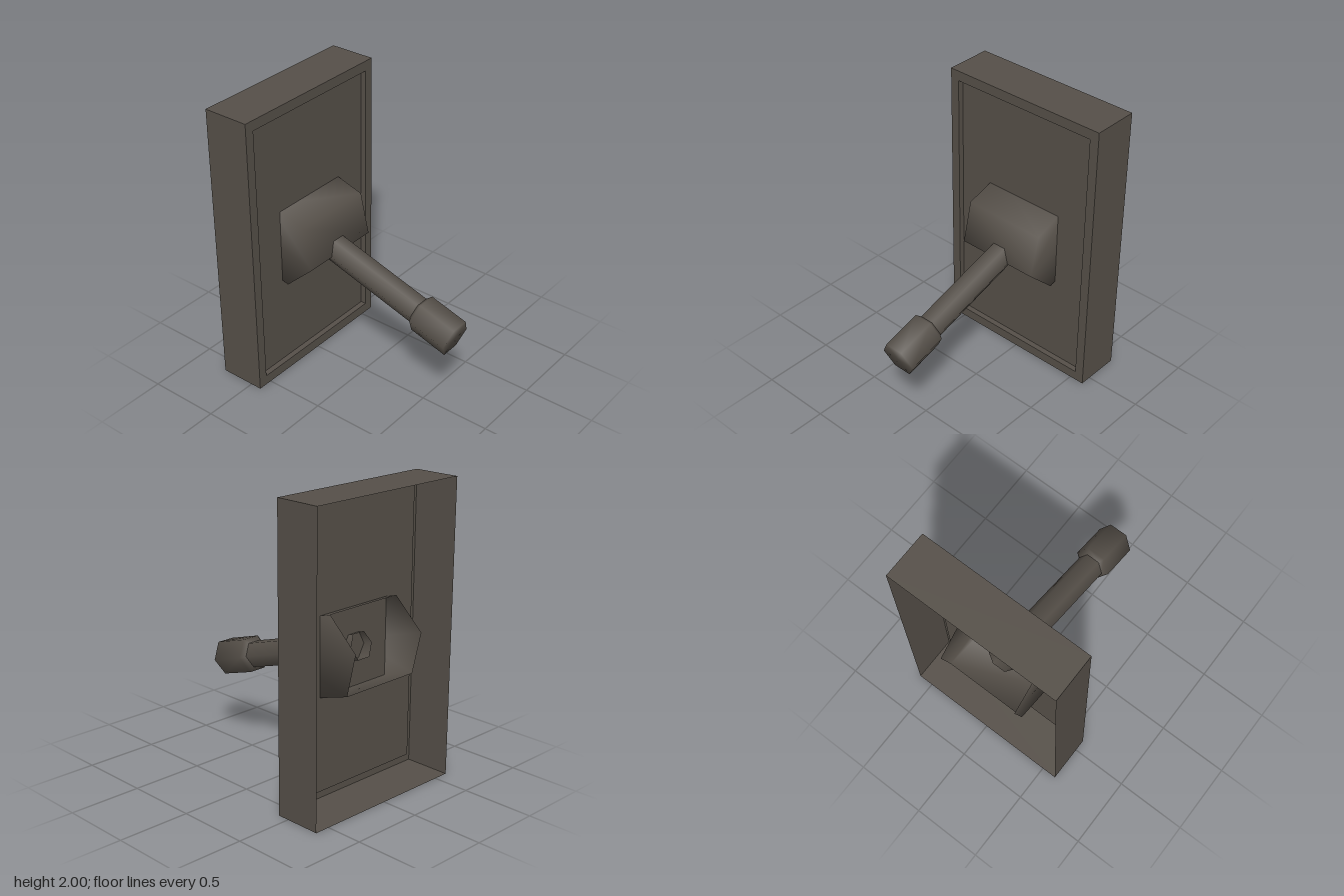
import * as THREE from 'three';

const metal = new THREE.MeshStandardMaterial({ color: 0x554f48, side: THREE.DoubleSide });
metal.name = 'dark grey brown';

function mesh(name, geometry) {
  const m = new THREE.Mesh(geometry, metal);
  m.name = name;
  return m;
}

function indexed(positions, index) {
  const g = new THREE.BufferGeometry();
  g.setAttribute('position', new THREE.Float32BufferAttribute(positions, 3));
  g.setIndex(index);
  g.computeVertexNormals();
  return g;
}

// Thin wall plate, open at the back, with a raised rim round a sunken panel
function wallPlate() {
  const rings = [ // x, half depth, half height
    [-0.745, 0.605, 1], [-0.42, 0.605, 1], [-0.42, 0.54, 0.93], [-0.46, 0.54, 0.93],
  ];
  const pos = [], idx = [];
  for (const [x, hz, hy] of rings) {
    pos.push(x, 1 - hy, hz, x, 1 - hy, -hz, x, 1 + hy, -hz, x, 1 + hy, hz);
  }
  for (let i = 0; i < rings.length - 1; i++) {
    for (let j = 0; j < 4; j++) {
      const a = i * 4 + j, b = i * 4 + (j + 1) % 4;
      idx.push(a, b, b + 4, a, b + 4, a + 4);
    }
  }
  const p = (rings.length - 1) * 4;
  idx.push(p, p + 1, p + 2, p, p + 2, p + 3);
  const g = indexed(pos, idx).toNonIndexed();
  g.computeVertexNormals();
  return g;
}

// Six-sided rocker with its two rear faces left open; softly shaded
function rockerHub() {
  const r = 0.292, hz = 0.295, pos = [], idx = [];
  for (let k = 0; k < 6; k++) {
    const a = k * Math.PI / 3, x = r * Math.cos(a), y = r * Math.sin(a);
    pos.push(x, y, -hz, x, y, hz);
  }
  for (const k of [4, 5, 0, 1]) {
    const a = k * 2, b = ((k + 1) % 6) * 2;
    idx.push(a, b, b + 1, a, b + 1, a + 1);
  }
  for (let k = 1; k < 5; k++) {
    idx.push(1, k * 2 + 1, k * 2 + 3, 0, k * 2 + 2, k * 2);
  }
  return indexed(pos, idx);
}

// Six-sided lathe along the lever axis
function lever(points) {
  const g = new THREE.LatheGeometry(points.map(([r, t]) => new THREE.Vector2(r, t)), 6);
  g.rotateZ(-Math.PI / 2);
  return g;
}

export function createModel() {
  const model = new THREE.Group();
  model.name = 'toggleSwitch';
  model.add(mesh('wallPlate', wallPlate()));

  // Rocker and lever tilt together about the pivot
  const toggle = new THREE.Group();
  toggle.name = 'toggle';
  toggle.position.set(-0.479, 0.975, 0);
  toggle.rotation.z = THREE.MathUtils.degToRad(-17);
  toggle.add(
    mesh('rockerHub', rockerHub()),
    mesh('leverRod', lever([[0.095, -0.05], [0.095, 0.965]])),
    mesh('leverTip', lever([[0.095, 0.965], [0.13, 0.99], [0.13, 1.265], [0, 1.265]])),
  );
  model.add(toggle);
  return model;
}
